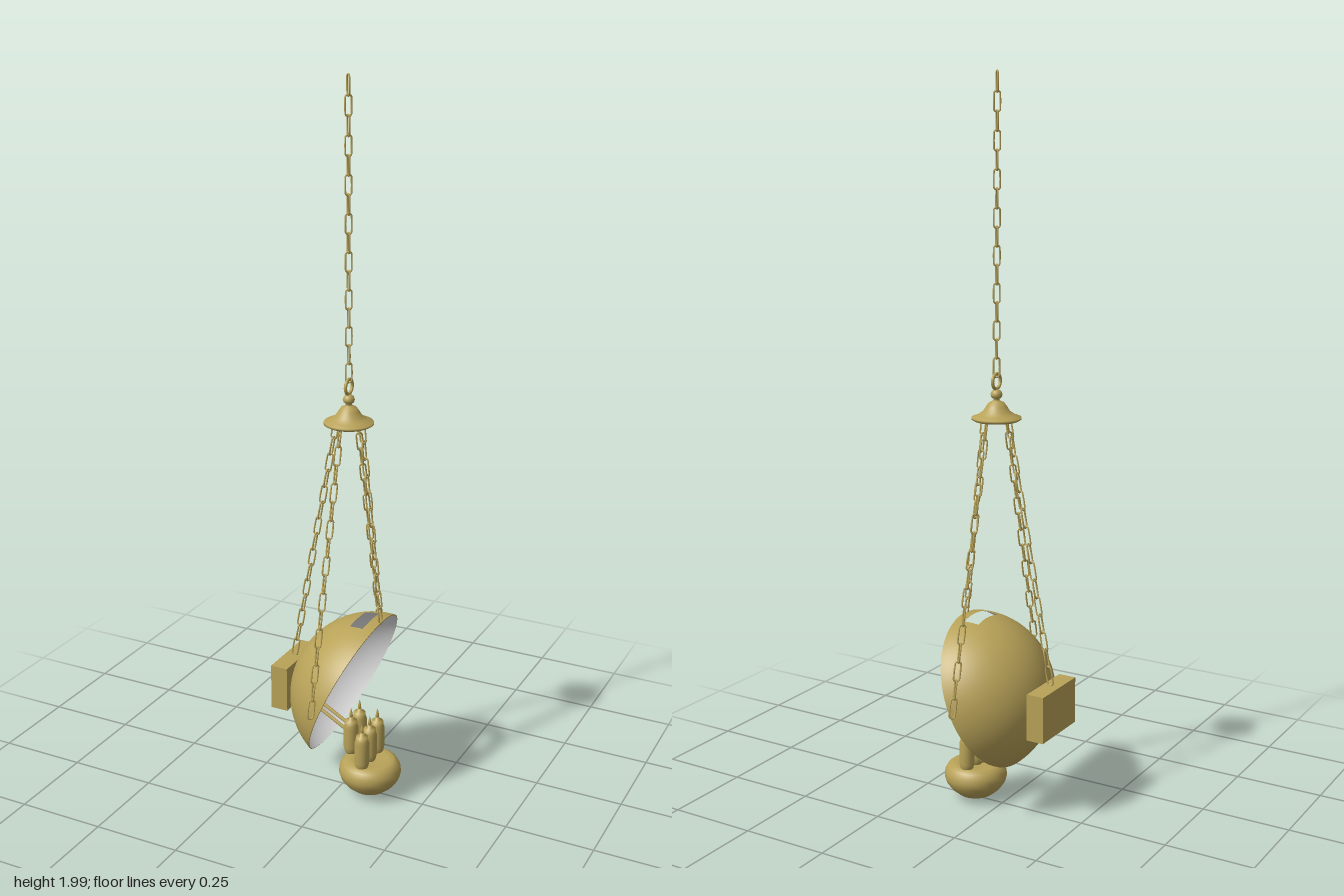
import * as THREE from 'three';

const brass = new THREE.MeshStandardMaterial({ color: 0xb8a258 });
brass.name = 'brass';
const white = new THREE.MeshStandardMaterial({ color: 0xf4f4f4, side: THREE.BackSide });
white.name = 'white lining';

const rad = THREE.MathUtils.degToRad;
const UP = new THREE.Vector3(0, 1, 0);
const v = (x, y, z) => new THREE.Vector3(x, y, z);

function part(parent, name, geometry, material = brass, x = 0, y = 0, z = 0) {
  const mesh = new THREE.Mesh(geometry, material);
  mesh.name = name;
  mesh.position.set(x, y, z);
  parent.add(mesh);
  return mesh;
}

function group(parent, name, x = 0, y = 0, z = 0) {
  const g = new THREE.Group();
  g.name = name;
  g.position.set(x, y, z);
  parent.add(g);
  return g;
}

const lathe = (points, segments = 40) =>
  new THREE.LatheGeometry(points.map(p => new THREE.Vector2(...p)), segments);

// Oval chain link: a small torus pulled apart along y
function linkGeometry() {
  const geo = new THREE.TorusGeometry(0.0085, 0.0024, 6, 20);
  const pos = geo.attributes.position;
  for (let i = 0; i < pos.count; i++) {
    const y = pos.getY(i);
    if (Math.abs(y) > 1e-5) pos.setY(i, y + Math.sign(y) * 0.018);
  }
  return geo;
}
const link = linkGeometry();

// Chain of alternating links between two points
function chain(parent, name, a, b, twist) {
  const g = group(parent, name);
  const dir = b.clone().sub(a);
  const count = Math.round(dir.length() / 0.048);
  const tilt = new THREE.Quaternion().setFromUnitVectors(UP, dir.clone().normalize());
  for (let i = 0; i < count; i++) {
    const m = part(g, 'chainLink', link);
    m.position.lerpVectors(a, b, (i + 0.5) / count);
    const spin = new THREE.Quaternion().setFromAxisAngle(UP, twist + (i % 2) * Math.PI / 2);
    m.quaternion.copy(tilt).multiply(spin);
  }
}

// Straight round rod between two points
function rod(parent, name, a, b, r) {
  const dir = b.clone().sub(a);
  const m = part(parent, name, new THREE.CylinderGeometry(r, r, dir.length(), 12));
  m.position.copy(a).add(b).multiplyScalar(0.5);
  m.quaternion.setFromUnitVectors(UP, dir.normalize());
}

// Spherical shell with a rectangular opening near its rim
function shell(parent, name, radius, material) {
  const g = group(parent, name);
  const t1 = rad(56), t2 = rad(66.5), t3 = rad(74), half = rad(15);
  const piece = (n, segs, rows, p0, pl, a, b) => part(g, n,
    new THREE.SphereGeometry(radius, segs, rows, p0, pl, a, b - a), material);
  piece(name + 'Crown', 72, 20, 0, Math.PI * 2, 0, t1);
  piece(name + 'Band', 66, 4, Math.PI + half, Math.PI * 2 - 2 * half, t1, t2);
  piece(name + 'Edge', 72, 4, 0, Math.PI * 2, t2, t3);
}

export function createModel() {
  const model = new THREE.Group();
  model.name = 'hangingLamp';

  // Tilted reflector dome, its open side towards +x
  const dome = group(model, 'dome', 0.093, 0.316, 0);
  dome.rotation.z = rad(67.2);
  const R = 0.229, r = 0.226, t = rad(74);
  shell(dome, 'domeOuter', R, brass);
  shell(dome, 'domeLining', r, white);
  part(dome, 'domeRim', lathe([
    [r * Math.sin(t), r * Math.cos(t)], [R * Math.sin(t), R * Math.cos(t)],
  ], 72));

  // Box on the back of the dome
  part(model, 'backBox', new THREE.BoxGeometry(0.05, 0.13, 0.18), brass, -0.154, 0.317, 0);

  // Pair of rods carrying the burners
  for (const dy of [0, 0.024])
    rod(model, 'supportRod', v(-0.13, 0.262 + dy, 0), v(0.045, 0.165 + dy, 0), 0.005);

  // Oil bowl
  part(model, 'bowl', lathe([
    [0, 0.005], [0.025, 0.008], [0.05, 0.02], [0.07, 0.037], [0.083, 0.055], [0.088, 0.072],
    [0.086, 0.088], [0.078, 0.102], [0.066, 0.11], [0.05, 0.109], [0, 0.104],
  ], 48), brass, 0.087, 0, 0);

  // Burners with pointed wicks: three in front, two raised behind
  const body = lathe([
    [0, 0], [0.015, 0], [0.018, 0.006], [0.021, 0.02], [0.021, 0.08], [0.018, 0.088],
    [0.017, 0.1], [0.007, 0.102], [0.006, 0.11], [0, 0.11],
  ], 24);
  const wick = lathe([[0, 0], [0.005, 0.006], [0.004, 0.015], [0, 0.032]], 12);
  const spots = [[0.085, 0.105, -0.05], [0.085, 0.105, 0], [0.085, 0.105, 0.05],
    [0.04, 0.133, -0.027], [0.04, 0.133, 0.027]];
  for (const [x, y, z] of spots) {
    const burner = group(model, 'burner', x, y, z);
    part(burner, 'burnerBody', body);
    part(burner, 'burnerWick', wick, brass, 0, 0.108, 0);
  }
  rod(model, 'burnerCrossbar', v(0.04, 0.178, -0.027), v(0.04, 0.178, 0.027), 0.006);

  // Bell-shaped canopy with ball and ring
  const cx = 0.018;
  part(model, 'canopy', lathe([
    [0, 1.1], [0.04, 1.098], [0.06, 1.095], [0.067, 1.099], [0.066, 1.104], [0.05, 1.11],
    [0.036, 1.12], [0.028, 1.133], [0.021, 1.143], [0.01, 1.148], [0.008, 1.153],
    [0.014, 1.158], [0.016, 1.165], [0.013, 1.173], [0.006, 1.179], [0, 1.18],
  ]), brass, cx, 0, 0);
  const ring = part(model, 'canopyRing', new THREE.TorusGeometry(0.02, 0.0045, 10, 32), brass, cx, 1.2, 0);
  ring.rotation.y = Math.PI / 2;

  // Main chain and the four chains holding the dome
  chain(model, 'mainChain', v(cx, 1.213, 0), v(0.015, 1.994, 0), Math.PI / 4);
  chain(model, 'backChain', v(-0.018, 1.1, 0), v(-0.152, 0.385, 0), 0);
  chain(model, 'frontChain', v(0.056, 1.1, 0), v(0.116, 0.54, 0), 0);
  for (const s of [-1, 1])
    chain(model, 'sideChain', v(cx, 1.1, s * 0.05), v(cx, 0.335, s * 0.23), Math.PI / 4);

  return model;
}
